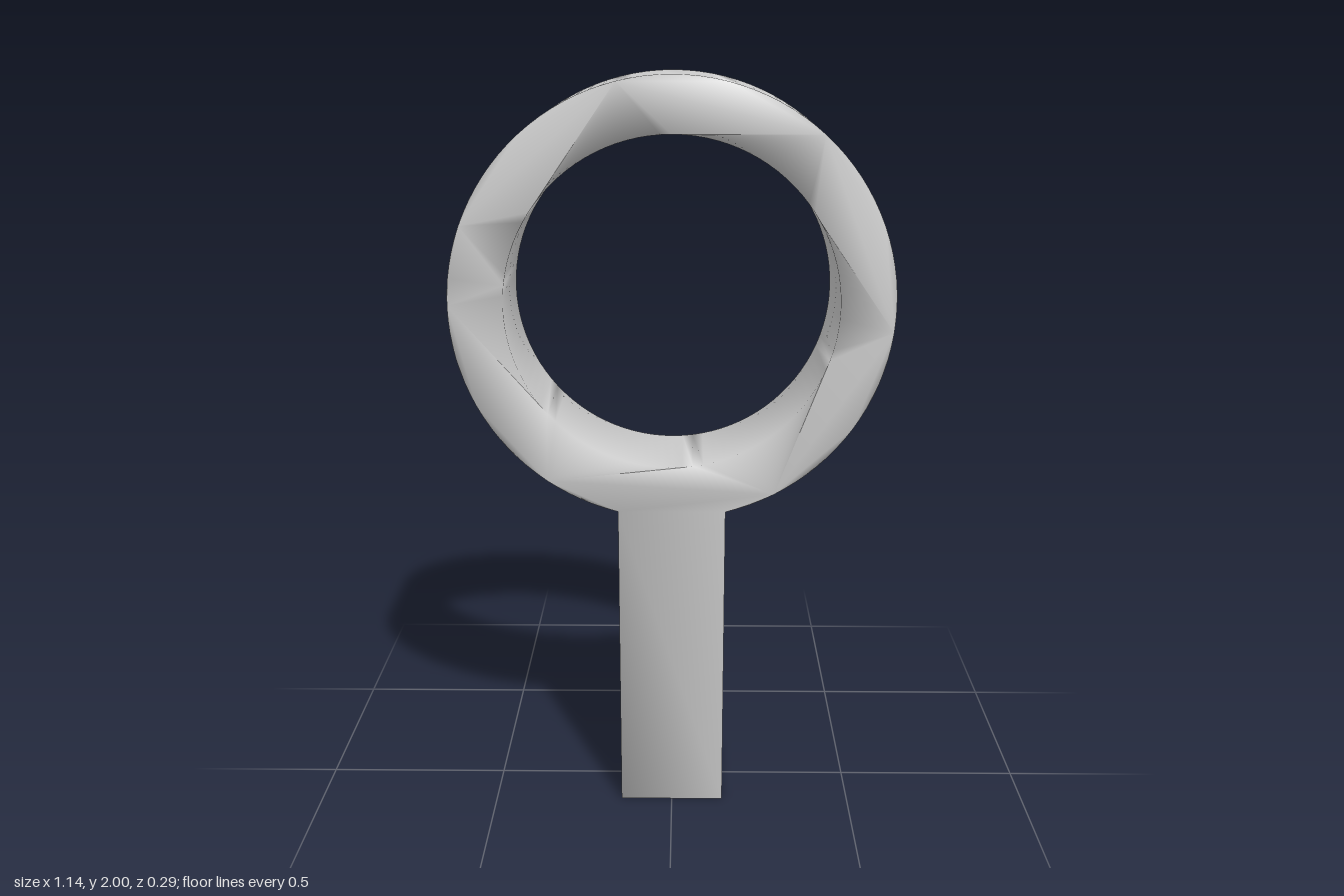
import * as THREE from 'three';
import { mergeVertices } from 'three/addons/utils/BufferGeometryUtils.js';

const HALF = 0.143;    // half width of the handle, half depth of the whole piece
const OUTER = 0.571;   // ring radii
const INNER = 0.429;
const CENTRE = 1.429;  // height of the ring's centre

export function createModel() {
  const group = new THREE.Group();
  group.name = 'ringWithHandle';

  // Keyhole outline: straight handle running into the outer arc of the ring
  const joint = Math.asin(HALF / OUTER);
  const outline = new THREE.Shape();
  outline.moveTo(-HALF, 0);
  outline.lineTo(HALF, 0);
  outline.absarc(0, CENTRE, OUTER, -Math.PI / 2 + joint, Math.PI * 1.5 - joint, false);
  outline.closePath();

  // Round opening
  const opening = new THREE.Path();
  opening.absarc(0, CENTRE, INNER, -Math.PI / 2, Math.PI * 1.5, false);
  outline.holes.push(opening);

  // Square-cut solid, with corners welded so the shading flows round the edges
  let geometry = new THREE.ExtrudeGeometry(outline, {
    depth: HALF * 2, bevelEnabled: false, curveSegments: 48,
  });
  geometry.translate(0, 0, -HALF);
  geometry.deleteAttribute('normal');
  geometry.deleteAttribute('uv');
  geometry = mergeVertices(geometry);
  geometry.clearGroups();
  geometry.computeVertexNormals();

  const body = new THREE.Mesh(geometry, new THREE.MeshStandardMaterial({ color: 0xcccccc }));
  body.name = 'ringAndHandle';
  group.add(body);
  return group;
}
